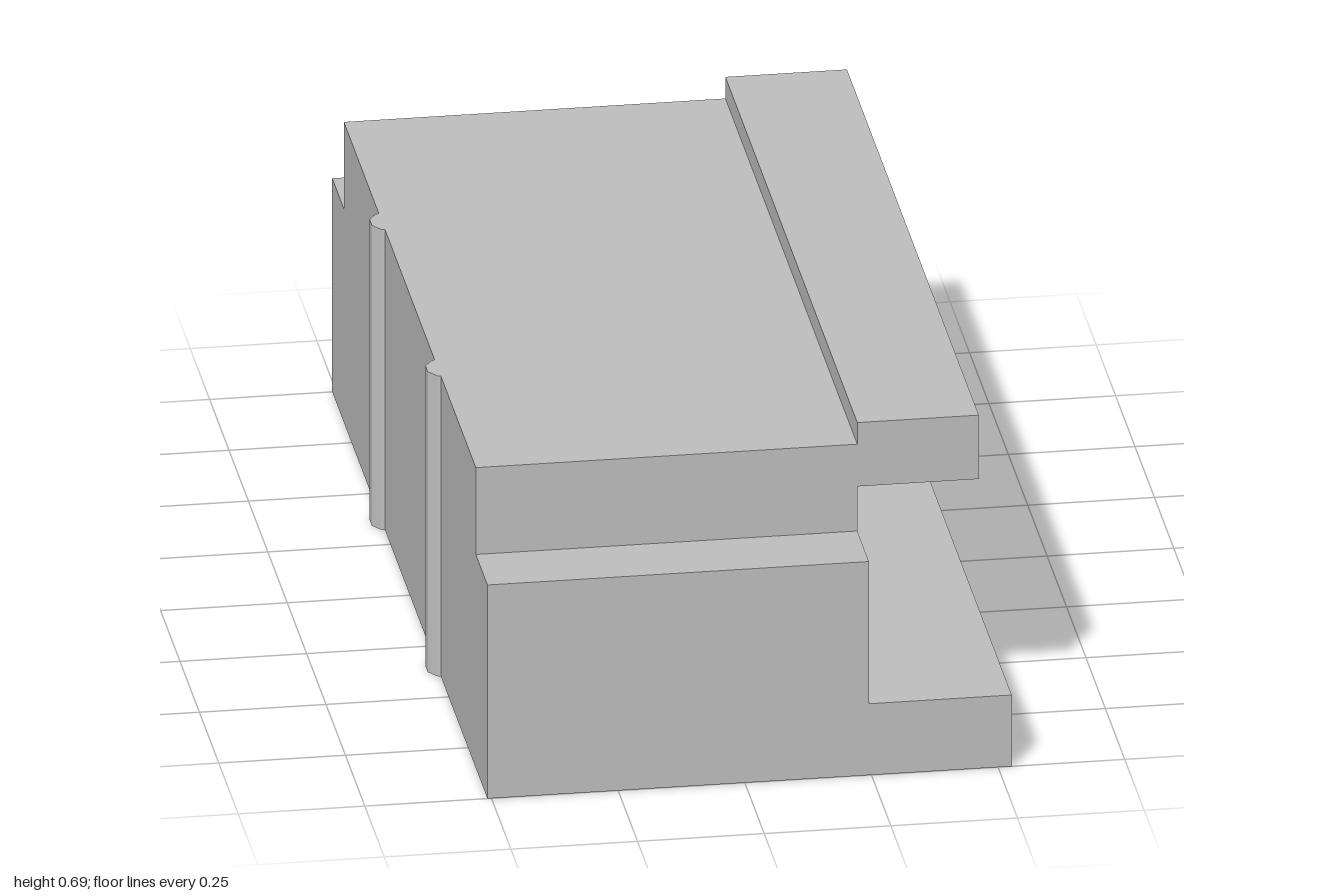
import * as THREE from 'three';

const grey = new THREE.MeshStandardMaterial({ color: 0xbfbfbf });
grey.name = 'plain grey';

// Extrude an x-y outline along z, centred on z = 0
function extrudeZ(name, points, length) {
  const shape = new THREE.Shape(points.map(([x, y]) => new THREE.Vector2(x, y)));
  const geometry = new THREE.ExtrudeGeometry(shape, { depth: length, bevelEnabled: false });
  geometry.translate(0, 0, -length / 2);
  const mesh = new THREE.Mesh(geometry, grey);
  mesh.name = name;
  return mesh;
}

export function createModel() {
  const group = new THREE.Group();
  group.name = 'building';

  const back = -0.508, wall = 0.245;

  // Ground floor with the porch slab
  group.add(extrudeZ('groundFloor', [
    [back, 0], [0.527, 0], [0.527, 0.152], [wall, 0.152], [wall, 0.455], [back, 0.455],
  ], 2));

  // Shorter upper storey with the raised overhanging canopy
  group.add(extrudeZ('upperFloorAndCanopy', [
    [back, 0.455], [wall, 0.455], [wall, 0.55], [0.485, 0.55],
    [0.485, 0.686], [wall, 0.686], [wall, 0.64], [back, 0.64],
  ], 1.7));

  // Porch posts between slab and canopy
  for (const z of [-0.132, -0.545]) {
    const post = new THREE.Mesh(new THREE.BoxGeometry(0.15, 0.398, 0.112), grey);
    post.name = 'porchPost';
    post.position.set(0.32, 0.351, z);
    group.add(post);
  }

  // Faceted full-height ribs on the rear wall
  const ribShape = new THREE.Shape([
    [back, -0.04], [back, 0.04], [-0.515, 0.037], [-0.53, 0.015], [-0.53, -0.015], [-0.515, -0.037],
  ].map(([x, z]) => new THREE.Vector2(x, z)));
  for (const z of [-0.36, 0.36]) {
    const geometry = new THREE.ExtrudeGeometry(ribShape, { depth: 0.64, bevelEnabled: false });
    geometry.rotateX(-Math.PI / 2);
    const rib = new THREE.Mesh(geometry, grey);
    rib.name = 'wallRib';
    rib.position.z = z;
    group.add(rib);
  }

  return group;
}
